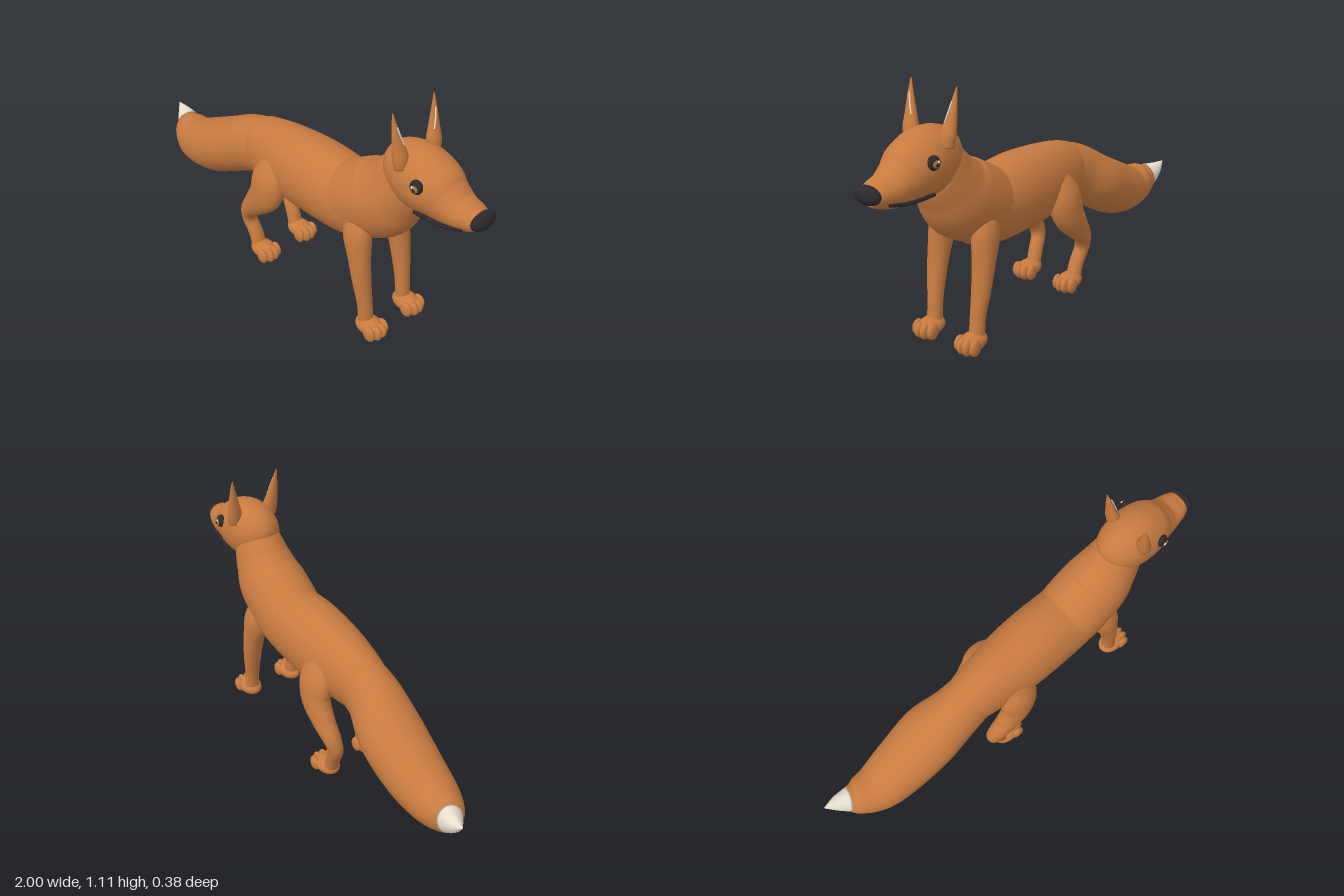
import * as THREE from 'three';

const mat = (name, color) => {
  const m = new THREE.MeshStandardMaterial({ color });
  m.name = name;
  return m;
};

// Smooth closed tube of elliptical rings; each row is [x, y, z, ringHeight, ringWidth].
function loft(rows, from = 0, to = rows.length - 1, sides = 32, steps = 6) {
  const path = new THREE.CatmullRomCurve3(rows.map(r => new THREE.Vector3(r[0], r[1], r[2])), false, 'catmullrom');
  const size = new THREE.CatmullRomCurve3(rows.map(r => new THREE.Vector3(r[3], r[4], 0)), false, 'catmullrom');
  const last = rows.length - 1, rings = (to - from) * steps;
  const pos = [], idx = [];
  for (let i = 0; i <= rings; i++) {
    const t = (from + i / steps) / last;
    const c = path.getPoint(t), r = size.getPoint(t), dir = path.getTangent(t);
    const side = new THREE.Vector3(0, 0, 1).addScaledVector(dir, -dir.z).normalize();
    const up = side.clone().cross(dir);
    for (let j = 0; j < sides; j++) {
      const a = j / sides * Math.PI * 2;
      const p = c.clone()
        .addScaledVector(up, Math.cos(a) * Math.max(r.x, 0.002))
        .addScaledVector(side, Math.sin(a) * Math.max(r.y, 0.002));
      pos.push(p.x, p.y, p.z);
    }
  }
  for (let i = 0; i < rings; i++) for (let j = 0; j < sides; j++) {
    const k = (j + 1) % sides, a = i * sides + j, b = i * sides + k;
    idx.push(a, b, a + sides, b, b + sides, a + sides);
  }
  // end caps
  const first = pos.length / 3, c0 = path.getPoint(from / last), c1 = path.getPoint(to / last);
  pos.push(c0.x, c0.y, c0.z, c1.x, c1.y, c1.z);
  for (let j = 0; j < sides; j++) {
    const k = (j + 1) % sides, e = rings * sides;
    idx.push(first, k, j, first + 1, e + j, e + k);
  }
  const g = new THREE.BufferGeometry();
  g.setAttribute('position', new THREE.Float32BufferAttribute(pos, 3));
  g.setIndex(idx);
  g.computeVertexNormals();
  return g;
}

const ball = (x, y, z, rx, ry, rz) =>
  new THREE.SphereGeometry(1, 28, 20).scale(rx, ry, rz).translate(x, y, z);

const line = (pts, r) => new THREE.TubeGeometry(
  new THREE.CatmullRomCurve3(pts.map(p => new THREE.Vector3(...p))), 20, r, 8);

export function createModel() {
  const fur = mat('orange fur', 0xc87b40);
  const cream = mat('cream fur', 0xe8e0d0);
  const dark = mat('black', 0x2c282b);
  const amber = mat('amber', 0xa9713a);

  const fox = new THREE.Group();
  fox.name = 'fox';
  const add = (parent, name, geometry, material) => {
    const m = new THREE.Mesh(geometry, material);
    m.name = name;
    parent.add(m);
    return m;
  };

  // trunk and neck
  add(fox, 'torso', loft([
    [-0.33, 0.49, 0, 0.05, 0.04], [-0.27, 0.505, 0, 0.125, 0.1], [-0.15, 0.515, 0, 0.155, 0.125],
    [0, 0.52, 0, 0.17, 0.145], [0.15, 0.525, 0, 0.175, 0.15], [0.3, 0.525, 0, 0.165, 0.147],
    [0.42, 0.55, 0, 0.15, 0.145], [0.5, 0.55, 0, 0.12, 0.128], [0.56, 0.53, 0, 0.07, 0.08],
    [0.585, 0.52, 0, 0.002, 0.002],
  ]), fur);
  add(fox, 'neck', loft([
    [0.24, 0.52, 0, 0.15, 0.13], [0.35, 0.55, 0, 0.163, 0.147], [0.48, 0.62, 0, 0.168, 0.146],
    [0.55, 0.7, 0, 0.142, 0.125], [0.6, 0.775, 0, 0.122, 0.105], [0.65, 0.82, 0, 0.1, 0.09],
  ]), fur);

  // bushy tail with a pale tip
  const tail = [
    [-1, 0.35, -0.08, 0.002, 0.002], [-0.95, 0.324, -0.07, 0.034, 0.032], [-0.9, 0.303, -0.055, 0.06, 0.054],
    [-0.85, 0.288, -0.038, 0.085, 0.084], [-0.75, 0.278, -0.02, 0.109, 0.113], [-0.615, 0.318, -0.018, 0.128, 0.131],
    [-0.46, 0.4, -0.015, 0.127, 0.14], [-0.33, 0.475, 0, 0.13, 0.118], [-0.2, 0.515, 0, 0.14, 0.105],
  ];
  add(fox, 'tail', loft(tail, 2, 8), fur);
  add(fox, 'tailTip', loft(tail, 0, 2), cream);

  // head, muzzle and nose
  add(fox, 'head', loft([
    [0.505, 0.81, 0, 0.002, 0.002], [0.535, 0.82, 0, 0.08, 0.07], [0.59, 0.826, 0, 0.119, 0.104],
    [0.67, 0.822, 0, 0.136, 0.118], [0.75, 0.807, 0, 0.123, 0.114], [0.81, 0.785, 0, 0.096, 0.094],
    [0.87, 0.77, 0, 0.072, 0.08], [0.93, 0.772, 0, 0.055, 0.066], [0.965, 0.778, 0, 0.038, 0.05],
  ]), fur);
  add(fox, 'nose', ball(0.97, 0.78, 0, 0.03, 0.037, 0.062), dark);

  for (const s of [1, -1]) {
    const half = new THREE.Group();
    half.name = s > 0 ? 'rightSide' : 'leftSide';
    fox.add(half);

    // mouth line
    add(half, 'mouth', line([
      [0.72, 0.725, s * 0.09], [0.78, 0.724, s * 0.086], [0.86, 0.728, s * 0.074], [0.93, 0.742, s * 0.056],
    ], 0.008), dark);

    // eye
    add(half, 'eye', ball(0.738, 0.855, s * 0.106, 0.028, 0.029, 0.024), dark);
    add(half, 'iris', ball(0.74, 0.855, s * 0.112, 0.021, 0.021, 0.021), amber);
    add(half, 'pupil', ball(0.742, 0.854, s * 0.117, 0.012, 0.013, 0.018), dark);
    add(half, 'eyeGlint', ball(0.735, 0.864, s * 0.13, 0.005, 0.005, 0.004), cream);

    // pointed ear with pale hairs along its front
    add(half, 'ear', loft([
      [0.642, 0.885, s * 0.092, 0.025, 0.028], [0.637, 0.93, s * 0.092, 0.027, 0.034],
      [0.627, 0.98, s * 0.098, 0.02, 0.026], [0.615, 1.05, s * 0.106, 0.01, 0.014],
      [0.604, 1.11, s * 0.111, 0.002, 0.002],
    ]), fur);
    add(half, 'earHair', line([
      [0.643, 0.98, s * 0.082], [0.635, 1.02, s * 0.094], [0.624, 1.06, s * 0.104],
    ], 0.003), cream);

    // legs
    add(half, 'frontLeg', loft([
      [0.44, 0.57, s * 0.095, 0.045, 0.03], [0.45, 0.48, s * 0.108, 0.066, 0.052],
      [0.475, 0.36, s * 0.116, 0.048, 0.047], [0.495, 0.25, s * 0.117, 0.037, 0.042],
      [0.513, 0.14, s * 0.113, 0.031, 0.034], [0.523, 0.04, s * 0.112, 0.031, 0.034],
    ]), fur);
    add(half, 'hindLeg', loft([
      [-0.07, 0.58, s * 0.09, 0.05, 0.025], [-0.07, 0.48, s * 0.118, 0.09, 0.06],
      [-0.085, 0.39, s * 0.136, 0.083, 0.056], [-0.145, 0.31, s * 0.138, 0.06, 0.048],
      [-0.2, 0.245, s * 0.132, 0.042, 0.04], [-0.218, 0.18, s * 0.122, 0.033, 0.034],
      [-0.188, 0.11, s * 0.114, 0.031, 0.033], [-0.165, 0.04, s * 0.112, 0.031, 0.034],
    ]), fur);

    // paws with four toes each
    for (const [name, x] of [['frontPaw', 0.545], ['hindPaw', -0.135]]) {
      const paw = new THREE.Group();
      paw.name = name;
      half.add(paw);
      add(paw, 'pawPad', ball(x, 0.041, s * 0.112, 0.069, 0.037, 0.05), fur);
      [-0.04, -0.014, 0.014, 0.04].forEach((dz, i) => add(paw, 'toe',
        ball(x + (i % 3 ? 0.05 : 0.036), 0.036, s * 0.112 + dz, 0.031, 0.035, 0.0165), fur));
    }
  }
  return fox;
}
